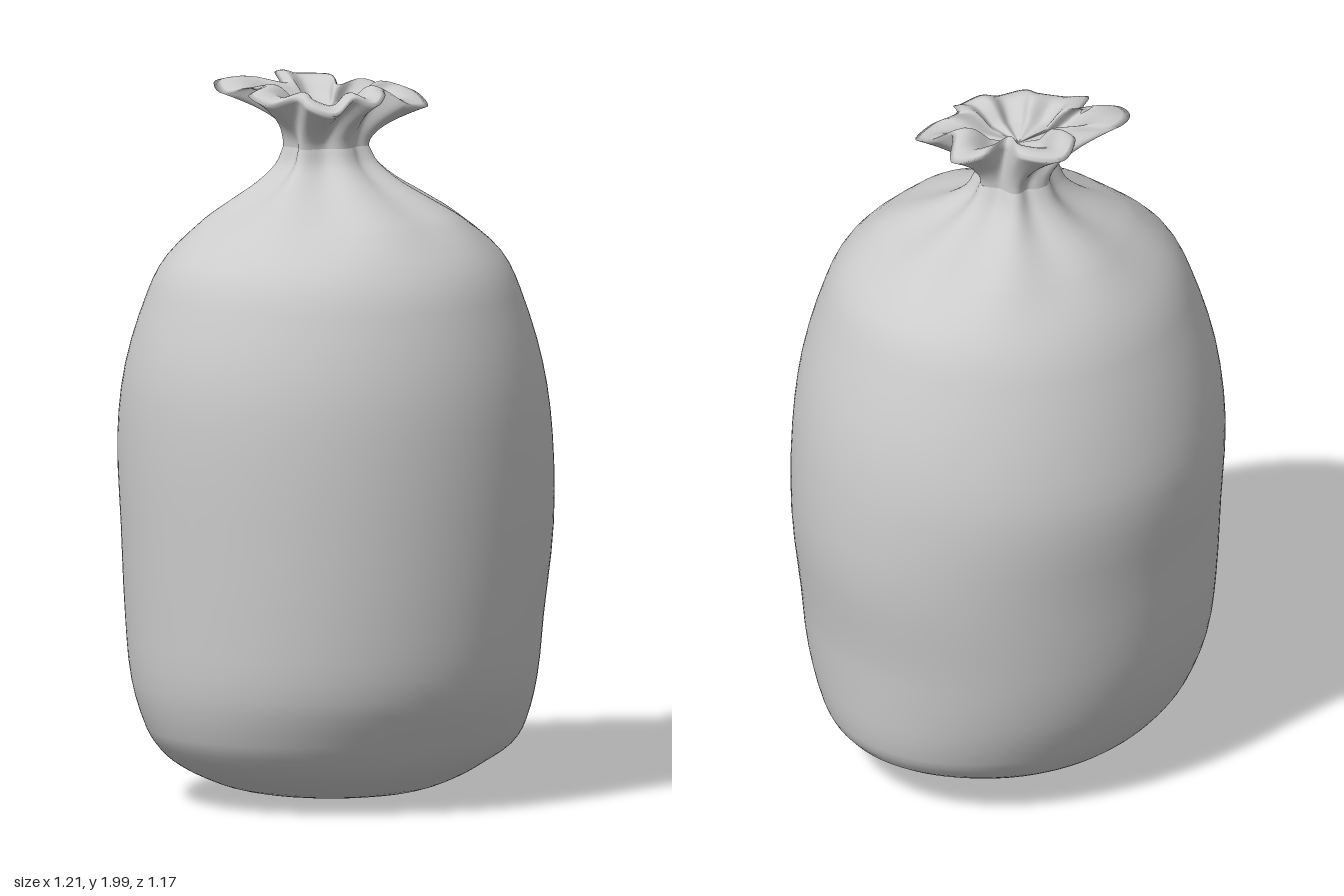
import * as THREE from 'three';

const SEGMENTS = 144;

// Sack cross-sections: height, then reach towards -x, +x, +z, -z
const SECTIONS = [
  [0, 0, 0, 0, 0], [0.012, 0.17, 0.15, 0.16, 0.14], [0.03, 0.29, 0.25, 0.27, 0.22],
  [0.06, 0.38, 0.35, 0.34, 0.3], [0.1, 0.46, 0.43, 0.4, 0.37], [0.14, 0.51, 0.505, 0.44, 0.41],
  [0.2, 0.55, 0.54, 0.48, 0.45], [0.33, 0.585, 0.556, 0.545, 0.505], [0.5, 0.595, 0.57, 0.57, 0.54],
  [0.75, 0.603, 0.604, 0.583, 0.56], [1, 0.608, 0.598, 0.585, 0.58], [1.2, 0.595, 0.565, 0.57, 0.54],
  [1.4, 0.54, 0.5, 0.52, 0.465], [1.5, 0.49, 0.45, 0.47, 0.405], [1.6, 0.38, 0.345, 0.37, 0.31],
  [1.65, 0.3, 0.265, 0.28, 0.25], [1.7, 0.22, 0.18, 0.18, 0.185], [1.75, 0.165, 0.12, 0.11, 0.14],
  [1.8, 0.145, 0.09, 0.085, 0.115],
];

// Ruffled rim, running round from +x by way of -z
const RIM = [
  [0.21, 1.92, 0], [0.17, 1.95, -0.075], [0.06, 1.94, -0.06], [0.095, 1.96, -0.16],
  [0.02, 1.96, -0.25], [-0.06, 1.98, -0.21], [-0.09, 1.95, -0.14], [-0.19, 1.97, -0.23],
  [-0.26, 1.97, -0.21], [-0.295, 1.95, -0.12], [-0.2, 1.96, -0.085], [-0.27, 1.95, -0.03],
  [-0.25, 1.93, 0.03], [-0.18, 1.95, 0.075], [-0.185, 1.93, 0.14], [-0.13, 1.91, 0.19],
  [-0.05, 1.95, 0.175], [0, 1.93, 0.2], [0.04, 1.95, 0.18], [0.07, 1.96, 0.135],
  [0.12, 1.92, 0.185], [0.19, 1.91, 0.17], [0.2, 1.94, 0.1], [0.155, 1.96, 0.06],
];

// Surface through closed rings of points, facing outwards as the rings rise
function loft(rings) {
  const positions = [], index = [];
  rings.forEach(ring => ring.forEach(p => positions.push(p.x, p.y, p.z)));
  for (let i = 0; i < rings.length - 1; i++) {
    for (let j = 0; j < SEGMENTS; j++) {
      const k = (j + 1) % SEGMENTS;
      const a = i * SEGMENTS + j, b = i * SEGMENTS + k;
      index.push(a, b, a + SEGMENTS, b, b + SEGMENTS, a + SEGMENTS);
    }
  }
  const geometry = new THREE.BufferGeometry();
  geometry.setAttribute('position', new THREE.Float32BufferAttribute(positions, 3));
  geometry.setIndex(index);
  geometry.computeVertexNormals();
  return geometry;
}

const ringOf = pointAt => Array.from({ length: SEGMENTS }, (_, j) => pointAt(j / SEGMENTS));

// One sack ring; gathers deepen towards the neck
function sackRing([y, left, right, front, back]) {
  const depth = 0.09 * THREE.MathUtils.smoothstep(y, 1.5, 1.8);
  return ringOf(u => {
    const angle = u * Math.PI * 2;
    const c = Math.cos(angle), s = -Math.sin(angle);
    const pleat = 1 + depth * (Math.cos(7 * angle) - 0.3);
    return new THREE.Vector3(c * (c > 0 ? right : left) * pleat, y, s * (s > 0 ? front : back) * pleat);
  });
}

export function createModel() {
  const group = new THREE.Group();
  const material = new THREE.MeshStandardMaterial({ color: 0xcccccc, side: THREE.DoubleSide });
  const addPart = (name, rings) => {
    const mesh = new THREE.Mesh(loft(rings), material);
    mesh.name = name;
    group.add(mesh);
  };

  // Full sack, smoothed between the cross-sections
  const bodyRings = [];
  const last = SECTIONS.length - 1;
  SECTIONS.slice(0, last).forEach((section, i) => {
    for (let k = 0; k < 3; k++) {
      const t = k / 3;
      bodyRings.push(sackRing(section.map((value, n) => {
        const next = SECTIONS[i + 1][n];
        const before = i ? SECTIONS[i - 1] : section;
        const after = SECTIONS[Math.min(i + 2, last)];
        // Slopes by height keep uneven spacing smooth
        const span = SECTIONS[i + 1][0] - section[0];
        if (n === 0) return section[0] + span * t;
        const m0 = i ? (next - before[n]) / (SECTIONS[i + 1][0] - before[0]) * span : next - value;
        const m1 = (after[n] - value) / (after[0] - section[0]) * span;
        const t2 = t * t, t3 = t2 * t;
        return (2 * t3 - 3 * t2 + 1) * value + (t3 - 2 * t2 + t) * m0
          + (3 * t2 - 2 * t3) * next + (t3 - t2) * m1;
      })));
    }
  });
  const neck = sackRing(SECTIONS[last]);
  bodyRings.push(neck);
  addPart('sackBody', bodyRings);

  // Gathered mouth: flares out to the rim, rolls over and dips into the middle
  const rimCurve = new THREE.CatmullRomCurve3(RIM.map(p => new THREE.Vector3(...p)), true);
  const rim = ringOf(u => rimCurve.getPoint(u));
  const mouthRings = [];
  for (let i = 0; i <= 12; i++) {
    const t = i / 12;
    mouthRings.push(rim.map((p, j) => {
      const q = neck[j].clone().lerp(p, Math.pow(t, 1.9));
      q.y = THREE.MathUtils.lerp(neck[j].y, p.y, t);
      return q;
    }));
  }
  const middle = new THREE.Vector3(-0.03, 1.89, -0.01);
  for (let i = 1; i <= 14; i++) {
    const t = i / 14;
    mouthRings.push(rim.map(p => {
      const q = p.clone().lerp(middle, t);
      q.y += 0.028 * Math.sin(Math.PI * Math.min(1, t * 1.8));
      q.y = Math.min(q.y, 2);
      return q;
    }));
  }
  addPart('gatheredMouth', mouthRings);
  return group;
}
